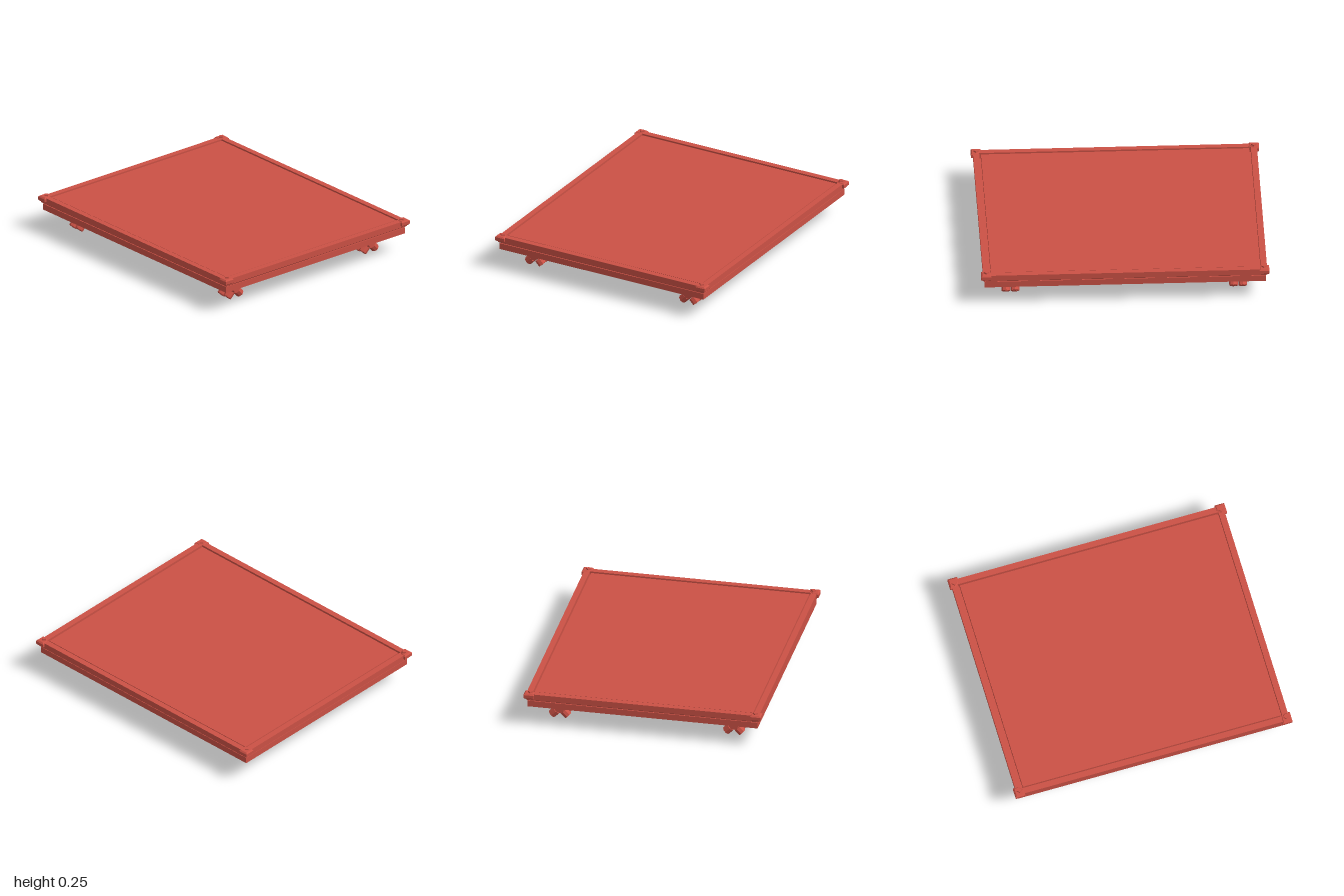
import * as THREE from 'three';

export function createModel() {
  const model = new THREE.Group();
  const red = new THREE.MeshStandardMaterial({ color: 0xcb5145, flatShading: true });
  red.name = 'red';

  const add = (parent, name, geometry, x = 0, y = 0, z = 0) => {
    const mesh = new THREE.Mesh(geometry, red);
    mesh.name = name;
    mesh.position.set(x, y, z);
    parent.add(mesh);
    return mesh;
  };

  // Box between two heights whose bottom face is scaled in x and z
  const taperedBox = (w, d, y0, y1, sx = 1, sz = 1) => {
    const g = new THREE.BoxGeometry(w, y1 - y0, d);
    const p = g.attributes.position;
    for (let i = 0; i < p.count; i++) {
      if (p.getY(i) < 0) {
        p.setX(i, p.getX(i) * sx);
        p.setZ(i, p.getZ(i) * sz);
      }
    }
    g.translate(0, (y0 + y1) / 2, 0);
    g.computeVertexNormals();
    return g;
  };

  const polygon = (points) => new THREE.Shape(points.map(([x, y]) => new THREE.Vector2(x, y)));
  const rect = (x, y) => [[-x, -y], [x, -y], [x, y], [-x, y]];

  // Lower tray, sunken panel and tapered underside box
  add(model, 'tray', taperedBox(1.63, 1.95, 0.14, 0.184));
  add(model, 'recessedSeam', taperedBox(1.61, 1.93, 0.184, 0.19));
  add(model, 'panel', taperedBox(1.548, 1.86, 0.19, 0.235));
  add(model, 'undersideBox', taperedBox(0.632, 0.686, 0.05, 0.14, 1, 0.82));

  // Raised border with a chamfered lower edge
  add(model, 'borderChamfer', taperedBox(1.65, 1.97, 0.187, 0.197, 0.985, 0.987));
  const border = polygon(rect(0.825, 0.985));
  border.holes.push(polygon(rect(0.784, 0.942)));
  const borderGeometry = new THREE.ExtrudeGeometry(border, { depth: 0.043, bevelEnabled: false });
  borderGeometry.rotateX(-Math.PI / 2);
  add(model, 'border', borderGeometry, 0, 0.197, 0);

  // Corner guards with diamond-shaped screw heads
  const addCorner = (sx, sz) => {
    const corner = new THREE.Group();
    corner.name = 'cornerGuard';
    const plan = [[0.838, 0.998], [0.768, 0.998], [0.768, 0.96], [0.796, 0.932], [0.838, 0.932]];
    const g = new THREE.ExtrudeGeometry(polygon(plan.map(([x, z]) => [x * sx, -z * sz])), {
      depth: 0.022, bevelThickness: 0.009, bevelSize: 0.009, bevelOffset: -0.007, bevelSegments: 1,
    });
    g.rotateX(-Math.PI / 2);
    add(corner, 'guard', g, 0, 0.214, 0);
    add(corner, 'screwHead', new THREE.CylinderGeometry(0.017, 0.019, 0.012, 4), 0.797 * sx, 0.249, 0.963 * sz);
    model.add(corner);
  };

  // Casters: stem, wedge-shaped fork and four splayed wheels
  const forkShape = polygon([
    [-0.043, 0.112], [-0.043, 0.09], [-0.015, 0.052], [0.015, 0.052], [0.043, 0.09], [0.043, 0.112],
  ]);
  const addCaster = (sx, sz) => {
    const caster = new THREE.Group();
    caster.name = 'caster';
    caster.position.set(0.617 * sx, 0, 0.79 * sz);
    add(caster, 'stem', new THREE.CylinderGeometry(0.018, 0.018, 0.035, 8), 0, 0.125, 0);
    add(caster, 'fork', new THREE.ExtrudeGeometry(forkShape, { depth: 0.134, bevelEnabled: false }), 0, 0, -0.067);
    for (const side of [-1, 1]) {
      for (const z of [-0.032, 0.032]) {
        const wheel = add(caster, 'wheel', new THREE.CylinderGeometry(0.03, 0.03, 0.046, 8), 0.041 * side, 0.038, z);
        wheel.rotation.z = side * Math.PI / 4;
        const hub = add(caster, 'wheelHub', new THREE.CylinderGeometry(0.018, 0.018, 0.05, 8), 0.041 * side, 0.038, z);
        hub.rotation.z = side * Math.PI / 4;
      }
    }
    model.add(caster);
  };

  for (const sx of [-1, 1]) {
    for (const sz of [-1, 1]) {
      addCorner(sx, sz);
      addCaster(sx, sz);
    }
  }
  return model;
}
